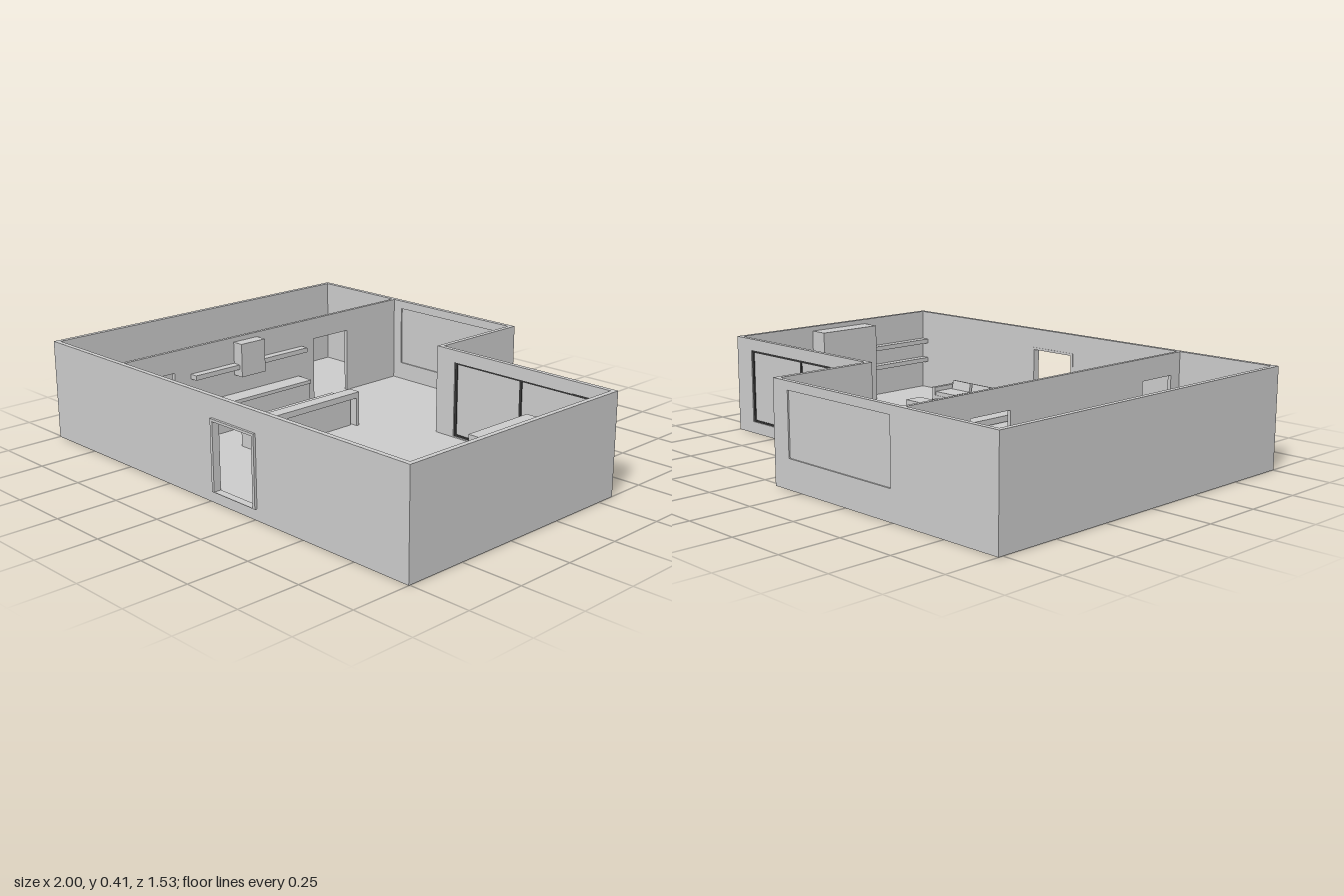
import * as THREE from 'three';

const H = 0.41, FLOOR = 0.045;
const grey = new THREE.MeshStandardMaterial({ color: 0xcccccc });
const dark = new THREE.MeshStandardMaterial({ color: 0x333333 });
const brown = new THREE.MeshStandardMaterial({ color: 0xc4b698 });
const twoSided = new THREE.MeshStandardMaterial({ color: 0xcccccc, side: THREE.DoubleSide });

function group(name, ...parts) {
  const g = new THREE.Group();
  g.name = name;
  g.add(...parts);
  return g;
}

function mesh(name, geometry, material = grey) {
  const m = new THREE.Mesh(geometry, material);
  m.name = name;
  return m;
}

// Box given by its limits on each axis
function box(name, x0, x1, y0, y1, z0, z1, material = grey) {
  const m = mesh(name, new THREE.BoxGeometry(x1 - x0, y1 - y0, z1 - z0), material);
  m.position.set((x0 + x1) / 2, (y0 + y1) / 2, (z0 + z1) / 2);
  return m;
}

function polygon(points) {
  return new THREE.Shape(points.map(([x, y]) => new THREE.Vector2(x, y)));
}

const rect = (a0, a1, b0, b1) => polygon([[a0, b0], [a1, b0], [a1, b1], [a0, b1]]);

// Wall along x with rectangular openings [x0, x1, y0, y1]
function wallX(name, x0, x1, z0, z1, openings = []) {
  const shape = rect(x0, x1, 0, H);
  openings.forEach((o) => shape.holes.push(rect(...o)));
  const m = mesh(name, new THREE.ExtrudeGeometry(shape, { depth: z1 - z0, bevelEnabled: false }));
  m.position.z = z0;
  return m;
}

// Wall along z with openings [z0, z1, y0, y1]
function wallZ(name, x0, x1, z0, z1, openings = []) {
  const m = wallX(name, -z1, -z0, 0, x1 - x0, openings.map(([a, b, c, d]) => [-b, -a, c, d]));
  m.rotation.y = Math.PI / 2;
  m.position.x = x0;
  return m;
}

// Horizontal slab from an outline in x and z, with optional holes
function slab(name, points, y0, y1, holes = []) {
  const shape = polygon(points.map(([x, z]) => [x, -z]));
  shape.holes.push(...holes);
  const geo = new THREE.ExtrudeGeometry(shape, { depth: y1 - y0, bevelEnabled: false, curveSegments: 24 });
  geo.rotateX(-Math.PI / 2);
  geo.translate(0, y0, 0);
  return mesh(name, geo);
}

function buildShell() {
  const outline = [[-0.99, 0.745], [0.99, 0.745], [0.99, -0.32], [0.145, -0.32], [0.145, -0.76], [-0.99, -0.76]];
  const doorways = [[-0.45, -0.25, FLOOR, 0.32], [0.5, 0.68, FLOOR, 0.32]];
  return group('shell',
    slab('floor', outline, 0.033, FLOOR),
    wallX('frontWall', -1, 1, 0.735, 0.755, [[0.03, 0.25, FLOOR, 0.32]]),
    wallX('backWall', -0.98, 0.155, -0.77, -0.75, [[-0.49, 0.07, 0.12, 0.375]]),
    wallX('recessedBackWall', 0.155, 0.98, -0.33, -0.31, [[0.23, 0.9, 0.05, 0.36]]),
    wallZ('rightWall', -1, -0.98, -0.77, 0.735),
    wallZ('stepWall', 0.135, 0.155, -0.75, -0.31),
    wallZ('leftWall', 0.98, 1, -0.33, 0.735),
    wallZ('partitionWall', -0.55, -0.535, -0.75, 0.735, doorways));
}

function buildOpenings() {
  // Thin casing around the entrance
  const casing = rect(0.02, 0.26, FLOOR, 0.327);
  casing.holes.push(rect(0.032, 0.248, FLOOR + 0.002, 0.317));
  const frame = mesh('entranceFrame', new THREE.ExtrudeGeometry(casing, { depth: 0.032, bevelEnabled: false }));
  frame.position.z = 0.733;
  const openings = group('openings', frame, box('backWindowPane', -0.49, 0.07, 0.12, 0.375, -0.764, -0.756));
  // Double sliding window
  openings.add(box('slidingWindowPane', 0.23, 0.9, 0.05, 0.36, -0.323, -0.317));
  for (const x of [0.23, 0.559, 0.888]) {
    openings.add(box('windowUpright', x, x + 0.012, 0.05, 0.36, -0.326, -0.314, dark));
  }
  for (const y of [0.05, 0.352]) {
    openings.add(box('windowRail', 0.23, 0.9, y, y + 0.008, -0.326, -0.314, dark));
  }
  return openings;
}

function buildWashstand() {
  // Wall-hung counter with two oval basins
  const zs = [0.11, 0.275];
  const holes = zs.map((z) => new THREE.Path().absellipse(-0.935, -z, 0.027, 0.033, 0, Math.PI * 2));
  const outline = [[-0.98, 0.395], [-0.9, 0.395], [-0.9, -0.015], [-0.98, -0.015]];
  const stand = group('washstand', slab('washCounter', outline, 0.16, 0.2, holes));
  for (const z of zs) {
    const bowl = mesh('basin', new THREE.SphereGeometry(1, 32, 12, 0, Math.PI * 2, Math.PI / 2, Math.PI / 2), twoSided);
    bowl.scale.set(0.027, 0.03, 0.033);
    bowl.position.set(-0.935, 0.2, z);
    stand.add(bowl);
  }
  return stand;
}

function buildKitchen() {
  return group('kitchen',
    box('baseCabinets', -0.535, -0.46, FLOOR, 0.155, -0.155, 0.41),
    box('worktop', -0.535, -0.455, 0.155, 0.17, -0.16, 0.415),
    box('upperShelf', -0.535, -0.5, 0.28, 0.3, -0.18, 0.42),
    box('cookerHood', -0.535, -0.485, 0.25, 0.39, 0.07, 0.195));
}

function buildIsland() {
  const island = group('island',
    box('islandCabinet', -0.285, -0.17, FLOOR, 0.16, -0.12, 0.37),
    box('barTop', -0.2, -0.145, 0.165, 0.19, -0.145, 0.385));
  for (const z of [-0.145, 0.37]) island.add(box('barEndPanel', -0.2, -0.145, FLOOR, 0.165, z, z + 0.015));
  return island;
}

function buildLivingWall() {
  const wall = group('livingWall', box('chimneyCabinet', 0.9, 0.98, FLOOR, 0.39, 0.065, 0.37));
  for (const y of [0.17, 0.26]) {
    for (const [z0, z1] of [[-0.31, 0.065], [0.37, 0.735]]) {
      wall.add(box('wallShelf', 0.945, 0.98, y, y + 0.02, z0, z1));
    }
  }
  return wall;
}

function buildSofa() {
  const base = [[0.305, 0.69], [0.715, 0.69], [0.715, 0.55], [0.44, 0.55], [0.44, 0.405], [0.305, 0.405]];
  const underside = slab('sofaUnderside', base, 0.031, 0.04);
  underside.material = brown;
  const sofa = group('sofa', underside,
    slab('sofaBase', base, 0.04, 0.068),
    box('chaiseCushion', 0.325, 0.44, 0.068, 0.086, 0.545, 0.66),
    box('chaiseFrontCushion', 0.305, 0.44, 0.068, 0.086, 0.405, 0.545),
    box('backRest', 0.305, 0.715, 0.068, 0.11, 0.675, 0.69),
    box('rightArm', 0.305, 0.323, 0.068, 0.105, 0.545, 0.69),
    box('leftArm', 0.697, 0.715, 0.068, 0.105, 0.55, 0.69));
  for (const x of [0.445, 0.572]) sofa.add(box('seatCushion', x, x + 0.123, 0.068, 0.086, 0.552, 0.66));
  // Leaning back cushions
  for (const x of [0.326, 0.447, 0.573]) {
    const cushion = box('backCushion', x, x + 0.113, 0.084, 0.125, 0.652, 0.67);
    cushion.rotation.x = 0.2;
    sofa.add(cushion);
  }
  return sofa;
}

function buildCoffeeTable() {
  return group('coffeeTable',
    box('lowBlock', 0.49, 0.615, FLOOR, 0.076, 0.39, 0.48),
    box('highBlock', 0.56, 0.67, FLOOR, 0.082, 0.345, 0.43));
}

export function createModel() {
  return group('apartment', buildShell(), buildOpenings(), buildWashstand(), buildKitchen(),
    buildIsland(), buildLivingWall(), buildSofa(), buildCoffeeTable());
}
